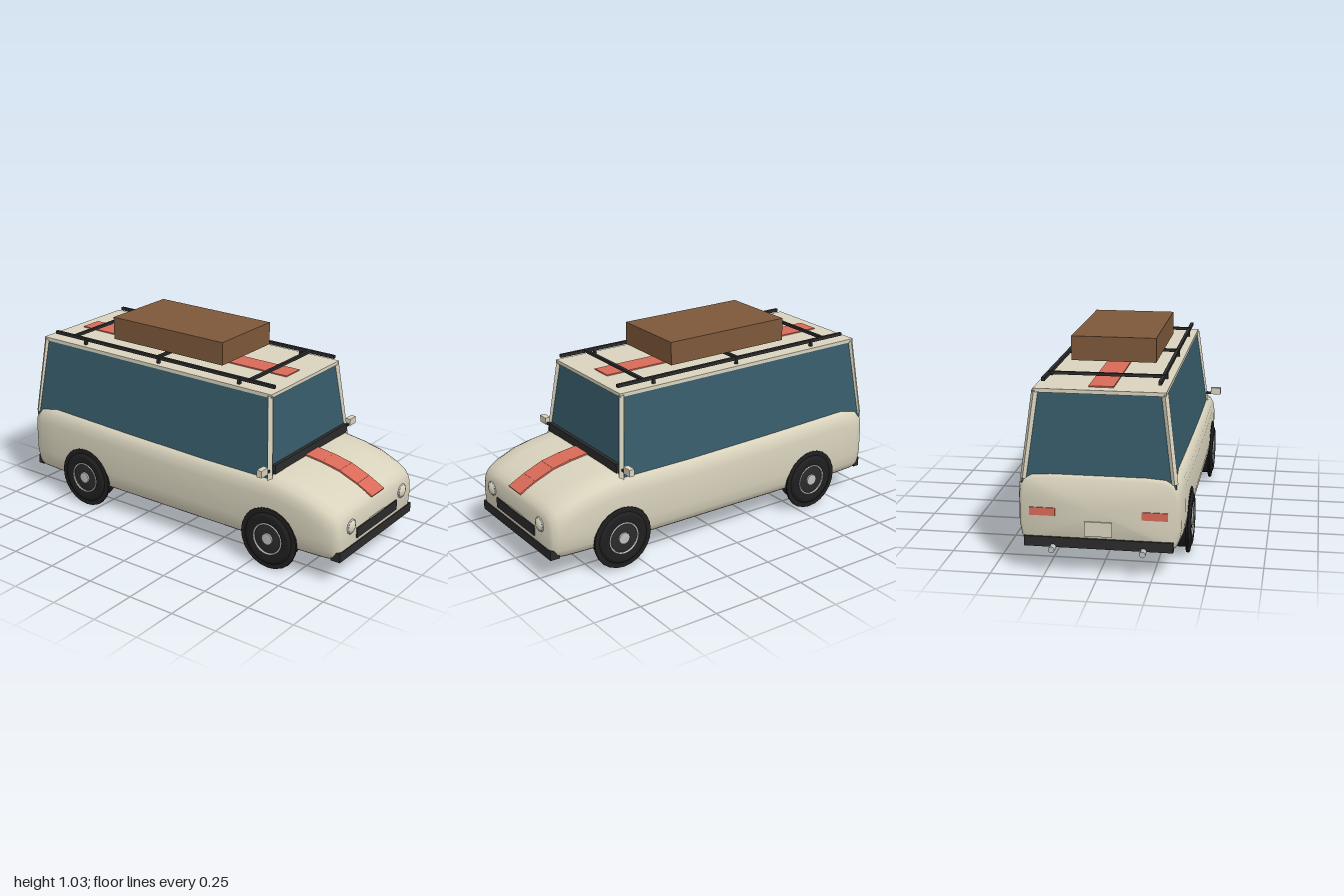
import * as THREE from 'three';
import { toCreasedNormals } from 'three/addons/utils/BufferGeometryUtils.js';

const mat = (name, color, side = THREE.FrontSide) => {
  const m = new THREE.MeshStandardMaterial({ color, side });
  m.name = name;
  return m;
};

export function createModel() {
  const car = new THREE.Group();
  car.name = 'car';
  const cream = mat('cream paint', 0xd9d3bd);
  const glass = mat('blue glass', 0x365a69);
  const black = mat('black trim', 0x2b2b2b);
  const rubber = mat('tyre rubber', 0x1f1f1f);
  const red = mat('red stripe', 0xd96a58);
  const brown = mat('brown leather', 0x7d583a);
  const chrome = mat('chrome', 0xbfc2c2);

  const add = (name, geo, m, x = 0, y = 0, z = 0, parent = car) => {
    const mesh = new THREE.Mesh(geo, m);
    mesh.name = name;
    mesh.position.set(x, y, z);
    parent.add(mesh);
    return mesh;
  };
  const box = (name, m, w, h, d, x, y, z) => add(name, new THREE.BoxGeometry(w, h, d), m, x, y, z);
  // Box stretched between two points
  const bar = (name, m, a, b, w, h) => {
    const p = new THREE.Vector3(...a), q = new THREE.Vector3(...b);
    const mesh = add(name, new THREE.BoxGeometry(w, h, p.distanceTo(q)), m);
    mesh.position.copy(p).add(q).multiplyScalar(0.5);
    mesh.lookAt(q);
    return mesh;
  };

  // Lower body: rounded cross-sections [z, half width, top, bottom] from rear to nose
  const sections = [
    [-0.95, 0.352, 0.462, 0.15], [-0.94, 0.366, 0.475, 0.137], [-0.9, 0.378, 0.492, 0.13],
    [-0.8, 0.385, 0.507, 0.13], [-0.3, 0.386, 0.492, 0.13], [0.2, 0.386, 0.482, 0.13],
    [0.6, 0.385, 0.482, 0.13], [0.7, 0.384, 0.468, 0.13], [0.8, 0.382, 0.447, 0.13],
    [0.9, 0.375, 0.408, 0.13], [0.95, 0.364, 0.382, 0.13], [0.975, 0.352, 0.36, 0.135],
    [0.985, 0.335, 0.335, 0.15],
  ];
  const ring = ([z, w, t, b]) => {
    const half = [[0.9, b], [0.94, b + 0.012], [0.975, b + 0.045], [1, b + 0.1], [1, t - 0.1],
      [0.985, t - 0.06], [0.94, t - 0.026], [0.84, t - 0.006], [0.6, t]];
    const right = half.map(([k, y]) => [k * w, y, z]);
    return [...right, ...right.slice().reverse().map(([x, y]) => [-x, y, z])];
  };
  const rings = sections.map(ring);
  const n = rings[0].length;
  const verts = rings.flat(), index = [];
  for (let s = 0; s < rings.length - 1; s++) {
    for (let i = 0; i < n; i++) {
      const a = s * n + i, b = s * n + (i + 1) % n;
      index.push(a, b, b + n, a, b + n, a + n);
    }
  }
  // End caps as fans
  const last = (rings.length - 1) * n;
  verts.push([0, 0.3, -0.95], [0, 0.25, 0.985]);
  for (let i = 0; i < n; i++) {
    const j = (i + 1) % n;
    index.push(verts.length - 2, j, i, verts.length - 1, last + i, last + j);
  }
  const bodyGeo = new THREE.BufferGeometry();
  bodyGeo.setAttribute('position', new THREE.Float32BufferAttribute(verts.flat(), 3));
  bodyGeo.setIndex(index);
  add('body', toCreasedNormals(bodyGeo, 0.8), cream);

  // Glass cabin: box tapered towards the roof
  const cabin = new THREE.BoxGeometry(1, 1, 1);
  const p = cabin.attributes.position;
  for (let i = 0; i < p.count; i++) {
    const top = p.getY(i) > 0;
    const z = p.getZ(i) > 0 ? (top ? 0.55 : 0.598) : (top ? -0.898 : -0.94);
    p.setXYZ(i, Math.sign(p.getX(i)) * (top ? 0.298 : 0.358), top ? 0.86 : 0.43, z);
  }
  cabin.computeVertexNormals();
  add('cabinGlass', cabin, glass);

  // Roof, pillars and cowl
  box('roof', cream, 0.608, 0.018, 1.468, 0, 0.859, -0.174);
  for (const s of [1, -1]) {
    bar('frontPillar', cream, [s * 0.347, 0.45, 0.588], [s * 0.295, 0.858, 0.546], 0.024, 0.024);
    bar('rearPillar', cream, [s * 0.347, 0.45, -0.932], [s * 0.295, 0.858, -0.894], 0.024, 0.024);
  }
  box('cowl', black, 0.656, 0.046, 0.03, 0, 0.502, 0.59);

  // Red stripes on hood and roof
  const stripe = [[0, 0.486, 0.6], [0, 0.473, 0.7], [0, 0.452, 0.8], [0, 0.411, 0.9], [0, 0.366, 0.985]];
  for (let i = 0; i < 4; i++) bar('hoodStripe', red, stripe[i], stripe[i + 1], 0.116, 0.008);
  box('roofStripe', red, 0.116, 0.008, 1.33, 0, 0.87, -0.185);

  // Roof rack and suitcase
  for (const s of [1, -1]) {
    box('rackRail', black, 0.016, 0.016, 1.405, s * 0.268, 0.896, -0.148);
    for (const z of [0.35, -0.15, -0.64]) box('rackPost', black, 0.014, 0.034, 0.014, s * 0.272, 0.88, z);
  }
  for (const z of [0.41, -0.155, -0.72]) box('rackCrossbar', black, 0.54, 0.014, 0.016, 0, 0.899, z);
  box('suitcase', brown, 0.41, 0.118, 0.7, 0, 0.969, -0.15);

  // Front and rear trim
  box('grille', black, 0.384, 0.052, 0.02, 0, 0.228, 0.982);
  box('frontPlate', cream, 0.14, 0.06, 0.008, 0, 0.229, 0.985);
  box('frontBumper', black, 0.692, 0.048, 0.05, 0, 0.156, 0.965);
  box('rearBumper', black, 0.692, 0.048, 0.035, 0, 0.156, -0.942);
  box('rearPlate', cream, 0.13, 0.07, 0.01, 0, 0.226, -0.952);

  for (const s of [1, -1]) {
    // Headlights, tail lights, exhausts, mirrors
    const lamp = add('headlight', new THREE.SphereGeometry(0.036, 10, 8), cream, s * 0.245, 0.283, 0.982);
    lamp.scale.z = 0.6;
    add('headlightRim', new THREE.TorusGeometry(0.034, 0.005, 6, 10), chrome, s * 0.245, 0.283, 0.986);
    box('tailLight', red, 0.12, 0.038, 0.01, s * 0.26, 0.3, -0.95);
    const pipe = add('exhaust', new THREE.CylinderGeometry(0.015, 0.015, 0.1, 10), chrome, s * 0.21, 0.132, -0.95);
    pipe.rotation.x = Math.PI / 2;
    box('mirrorArm', black, 0.04, 0.012, 0.014, s * 0.365, 0.5, 0.583);
    box('mirror', cream, 0.055, 0.036, 0.028, s * 0.406, 0.513, 0.583);
  }

  // Wheels: outward is the local +y of the lathe
  const lathe = (pts, seg = 24) =>
    toCreasedNormals(new THREE.LatheGeometry(pts.map(([r, y]) => new THREE.Vector2(r, y)), seg), 0.5);
  const tyreGeo = lathe([[0, 0.305], [0.08, 0.3], [0.135, 0.3], [0.135, 0.373], [0.16, 0.375],
    [0.162, 0.381], [0.16, 0.387], [0.135, 0.388], [0.122, 0.398], [0.1, 0.4], [0.08, 0.394]]);
  const rimGeo = lathe([[0.08, 0.386], [0.05, 0.391], [0, 0.391]]);
  const hubGeo = lathe([[0.03, 0.385], [0.03, 0.4], [0, 0.402]], 12);
  const ringGeo = new THREE.TorusGeometry(0.079, 0.005, 6, 24).rotateX(Math.PI / 2);
  for (const s of [1, -1]) {
    for (const z of [0.61, -0.575]) {
      const wheel = new THREE.Group();
      wheel.name = z > 0 ? 'frontWheel' : 'rearWheel';
      wheel.position.set(0, 0.162, z);
      wheel.rotation.z = -s * Math.PI / 2;
      add('tyre', tyreGeo, rubber, 0, 0, 0, wheel);
      add('rim', rimGeo, black, 0, 0, 0, wheel);
      add('hub', hubGeo, chrome, 0, 0, 0, wheel);
      add('outerRing', ringGeo, chrome, 0, 0.394, 0, wheel);
      add('innerRing', ringGeo, chrome, 0, 0.3, 0, wheel);
      car.add(wheel);
    }
  }
  return car;
}
